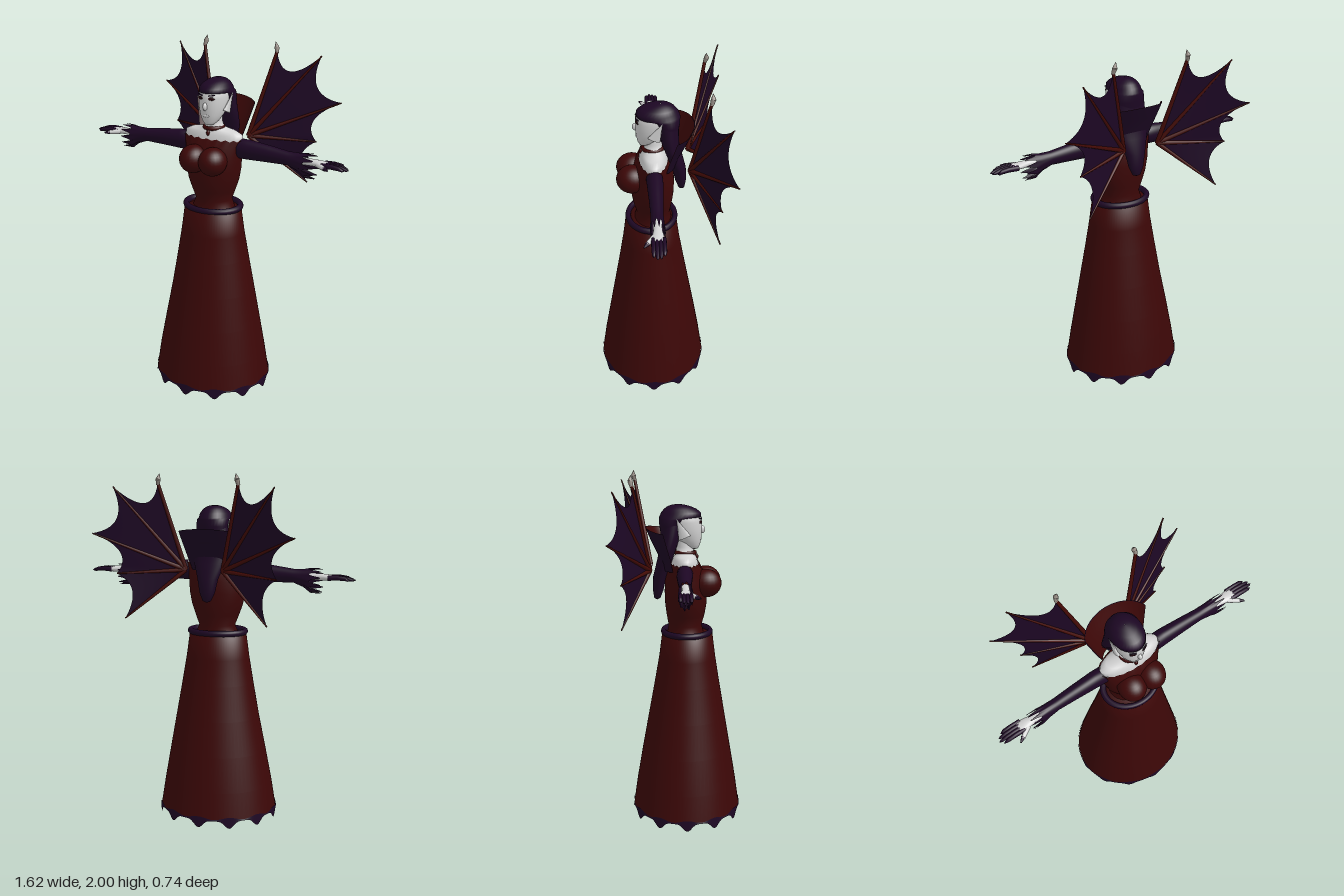
import * as THREE from 'three';

const mat = (name, color, double) => {
  const m = new THREE.MeshStandardMaterial({ color });
  m.name = name;
  if (double) m.side = THREE.DoubleSide;
  return m;
};
const V = (x, y, z) => new THREE.Vector3(x, y, z);

// Skin of elliptical rings stacked upward; each section is [y, cx, cz, rx, rz].
// bend(theta, row) shifts a ring point along y.
function loft(sections, { segs = 32, from = 0, sweep = Math.PI * 2, bend = () => 0 } = {}) {
  const pos = [], idx = [], closed = sweep > 6.28, n = closed ? segs : segs + 1;
  sections.forEach(([y, cx, cz, rx, rz], row) => {
    for (let j = 0; j < n; j++) {
      const a = from + (sweep * j) / segs;
      pos.push(cx + rx * Math.sin(a), y + bend(a, row), cz + rz * Math.cos(a));
    }
  });
  for (let i = 0; i < sections.length - 1; i++)
    for (let j = 0; j < segs; j++) {
      const k = (j + 1) % n, a = i * n + j, b = i * n + k, c = a + n, d = b + n;
      idx.push(a, b, d, a, d, c);
    }
  const g = new THREE.BufferGeometry();
  g.setAttribute('position', new THREE.Float32BufferAttribute(pos, 3));
  g.setIndex(idx);
  g.computeVertexNormals();
  return g;
}

// The same skin laid along +x; sections are [x, cy, cz, ry, rz].
const limb = (sections, opts) =>
  loft(sections.map(([x, cy, cz, ry, rz]) => [x, -cy, cz, ry, rz]), opts).rotateZ(-Math.PI / 2);

// Tapered rod between two points
function rod(a, b, r0, r1, sides = 10) {
  const d = b.clone().sub(a);
  const g = new THREE.CylinderGeometry(r1, r0, d.length(), sides);
  g.applyQuaternion(new THREE.Quaternion().setFromUnitVectors(V(0, 1, 0), d.normalize()));
  const c = a.clone().add(b).multiplyScalar(0.5);
  return g.translate(c.x, c.y, c.z);
}

const ball = (x, y, z, rx, ry, rz) =>
  new THREE.SphereGeometry(1, 24, 16).scale(rx, ry, rz).translate(x, y, z);

// Mirrored copy across x with its faces turned the right way out
function mirror(geo) {
  const g = geo.clone().scale(-1, 1, 1), ix = g.index.array;
  for (let i = 0; i < ix.length; i += 3) [ix[i], ix[i + 1]] = [ix[i + 1], ix[i]];
  return g;
}

export function createModel() {
  const root = new THREE.Group();
  root.name = 'wingedLady';
  const red = mat('dressRed', 0x3c0707, true);
  const purple = mat('darkPurple', 0x1d0724, true);
  const skin = mat('paleSkin', 0xd2d2d2);
  const bone = mat('clawBone', 0x9a9088);
  const rust = mat('wingBoneRed', 0x430a05);
  const eyeDark = mat('eyeDark', 0x22030a);

  const add = (name, geo, m) => {
    const mesh = new THREE.Mesh(geo, m);
    mesh.name = name;
    root.add(mesh);
  };
  const pair = (name, geo, m) => {
    add(name + 'Left', geo, m);
    add(name + 'Right', mirror(geo), m);
  };

  // Long skirt with a pointed hem
  add('skirt', loft([
    [0.045, -0.005, 0.052, 0.347, 0.314], [0.2, -0.005, 0.052, 0.322, 0.292],
    [0.4, -0.003, 0.052, 0.285, 0.258], [0.6, 0, 0.053, 0.247, 0.223],
    [0.8, 0, 0.054, 0.212, 0.188], [0.95, 0, 0.055, 0.187, 0.163],
    [1.09, 0, 0.055, 0.168, 0.145], [1.1, 0, 0.055, 0.09, 0.08],
  ], { segs: 72 }), red);
  add('hem', loft([
    [0.044, -0.005, 0.052, 0.351, 0.318], [0.058, -0.005, 0.052, 0.348, 0.315],
  ], {
    segs: 216,
    bend: (a, row) => (row ? 0.007 * Math.cos(12 * a) : -0.043 * Math.abs(Math.cos(6 * a)) ** 5),
  }), purple);
  add('belt', new THREE.TorusGeometry(0.162, 0.018, 12, 48)
    .rotateX(Math.PI / 2).scale(1, 1, 0.83).translate(0, 1.1, 0.052), purple);

  // Bodice
  add('bodice', loft([
    [1.09, 0, 0.045, 0.125, 0.105], [1.14, 0, 0.042, 0.106, 0.095], [1.2, 0, 0.045, 0.13, 0.109],
    [1.26, 0, 0.046, 0.152, 0.118], [1.33, 0, 0.046, 0.166, 0.121], [1.4, 0, 0.045, 0.17, 0.118],
    [1.46, 0, 0.042, 0.178, 0.1], [1.5, 0, 0.04, 0.188, 0.08],
  ], { segs: 80, bend: (a, row) => (row === 7 ? 0.005 * Math.cos(20 * a) : 0) }), red);
  pair('bust', ball(0.062, 1.39, 0.16, 0.079, 0.08, 0.087), red);

  // Shoulders, neck and choker
  add('shoulders', loft([
    [1.45, 0, 0.04, 0.165, 0.085], [1.495, 0, 0.04, 0.183, 0.077], [1.525, 0, 0.04, 0.177, 0.068],
    [1.542, 0, 0.04, 0.14, 0.058], [1.556, 0, 0.04, 0.06, 0.05], [1.59, 0, 0.04, 0.046, 0.046],
    [1.65, 0, 0.04, 0.046, 0.046],
  ]), skin);
  add('choker', new THREE.TorusGeometry(0.053, 0.009, 8, 32)
    .rotateX(Math.PI / 2).scale(1, 1.3, 1.05).translate(0, 1.556, 0.043), red);
  add('pendant', ball(0, 1.533, 0.107, 0.01, 0.017, 0.01), red);

  // Head and face
  add('head', loft([
    [1.575, 0, 0.095, 0.002, 0.002], [1.58, 0, 0.09, 0.025, 0.025], [1.6, 0, 0.077, 0.045, 0.048],
    [1.635, 0, 0.06, 0.064, 0.073], [1.68, 0, 0.046, 0.078, 0.09], [1.73, 0, 0.04, 0.081, 0.095],
    [1.77, 0, 0.035, 0.077, 0.092], [1.805, 0, 0.03, 0.045, 0.055], [1.81, 0, 0.03, 0.002, 0.002],
  ]), skin);
  add('nose', ball(0, 1.686, 0.136, 0.012, 0.022, 0.018), skin);
  add('lips', ball(0, 1.634, 0.128, 0.02, 0.009, 0.007), skin);
  pair('eye', new THREE.SphereGeometry(1, 16, 10).scale(0.019, 0.009, 0.004)
    .rotateY(0.4).translate(0.035, 1.731, 0.1275), eyeDark);
  pair('brow', new THREE.BoxGeometry(0.036, 0.005, 0.006)
    .rotateZ(0.15).rotateY(0.4).translate(0.036, 1.749, 0.127), purple);
  pair('ear', new THREE.ConeGeometry(0.036, 0.115, 14).scale(0.4, 1, 1)
    .rotateX(-0.4).rotateZ(-0.14).translate(0.085, 1.7, 0.015), skin);

  // Hair: cap with fringe, and a long fall down the back
  add('hairCap', loft([
    [1.64, 0, -0.035, 0.086, 0.058], [1.71, 0, -0.038, 0.092, 0.066], [1.748, 0, -0.022, 0.092, 0.084],
    [1.757, 0, 0.014, 0.09, 0.118], [1.78, 0, 0.018, 0.085, 0.112], [1.8, 0, 0.014, 0.07, 0.092],
    [1.815, 0, 0.006, 0.05, 0.064], [1.824, 0, 0.002, 0.025, 0.032], [1.826, 0, 0, 0.002, 0.002],
  ]), purple);
  add('hairFall', loft([
    [1.285, 0, -0.118, 0.002, 0.002], [1.295, 0, -0.117, 0.025, 0.018], [1.34, 0, -0.112, 0.045, 0.03],
    [1.42, 0, -0.102, 0.062, 0.038], [1.5, 0, -0.078, 0.09, 0.042], [1.58, 0, -0.055, 0.104, 0.047],
    [1.66, 0, -0.04, 0.097, 0.058], [1.73, 0, -0.032, 0.09, 0.068],
  ]), purple);

  // Standing collar, red inside and purple outside
  const collar = (o) => loft([
    [1.46, 0, -0.01, 0.125 + o, 0.07 + o], [1.54, 0, -0.02, 0.15 + o, 0.085 + o],
    [1.62, 0, -0.035, 0.17 + o, 0.11 + o], [1.7, 0, -0.05, 0.19 + o, 0.13 + o],
  ], { from: Math.PI * 0.58, sweep: Math.PI * 0.84, bend: (a, row) => -0.007 * row * Math.sin(a) ** 2 });
  add('collarLining', collar(0), red);
  add('collarOuter', collar(0.004), purple);

  // Sleeves with ragged flared cuffs that hang below the wrist
  pair('sleeve', limb([
    [0.13, 1.45, 0.038, 0.03, 0.03], [0.165, 1.452, 0.038, 0.056, 0.045], [0.22, 1.452, 0.036, 0.056, 0.044],
    [0.35, 1.447, 0.035, 0.047, 0.038], [0.46, 1.441, 0.035, 0.038, 0.033],
    [0.52, 1.43, 0.035, 0.05, 0.036], [0.58, 1.418, 0.035, 0.07, 0.04],
  ], { segs: 112, bend: (a, row) => (row === 6 ? 0.065 * Math.abs(Math.cos(5.5 * a)) ** 3 - 0.02 : 0) }), purple);

  // Hands: bare wrist and palm, gloved fingers
  pair('wrist', limb([
    [0.48, 1.44, 0.035, 0.022, 0.022], [0.6, 1.44, 0.035, 0.019, 0.023], [0.64, 1.44, 0.035, 0.018, 0.03],
    [0.69, 1.438, 0.034, 0.015, 0.037], [0.705, 1.437, 0.034, 0.002, 0.03],
  ], { segs: 20 }), skin);
  for (let i = 0; i < 4; i++) {
    const z = 0.006 + i * 0.018, end = [0.785, 0.807, 0.812, 0.795][i];
    pair('finger' + (i + 1), limb([
      [0.665, 1.438, z, 0.015, 0.012], [0.72, 1.441, z, 0.014, 0.012], [0.765, 1.437, z, 0.012, 0.011],
      [end - 0.012, 1.43, z, 0.008, 0.008], [end, 1.428, z, 0.001, 0.001],
    ], { segs: 10 }), purple);
  }
  pair('thumb', rod(V(0.645, 1.437, 0.055), V(0.7, 1.434, 0.093), 0.015, 0.011), skin);
  pair('thumbTip', rod(V(0.695, 1.434, 0.089), V(0.722, 1.432, 0.107), 0.0125, 0.004), purple);

  // Bat wings: a scalloped membrane fanned from the root, with bones to each tip
  const wingPoint = (x, y) => V(x, y, -0.155 - 0.4 * (x - 0.11) - 0.09 * Math.abs(y - 1.47));
  const hub = wingPoint(0.11, 1.47);
  const tips = [[0.235, 1.95], [0.465, 1.93], [0.585, 1.675], [0.47, 1.45], [0.42, 1.2]];
  const dips = [[0.27, 1.74], [0.385, 1.71], [0.37, 1.58], [0.33, 1.38]];
  const pts = [hub.toArray()], fan = [];
  dips.forEach((d, i) => {
    const [a, b] = [tips[i], tips[i + 1]].map((t) => new THREE.Vector2(...t));
    const edge = new THREE.QuadraticBezierCurve(a, new THREE.Vector2(...d), b);
    edge.getPoints(14).forEach((p) => pts.push(wingPoint(p.x, p.y).toArray()));
  });
  for (let i = 1; i < pts.length - 1; i++) fan.push(0, i + 1, i);
  const web = new THREE.BufferGeometry();
  web.setAttribute('position', new THREE.Float32BufferAttribute(pts.flat(), 3));
  web.setIndex(fan);
  web.computeVertexNormals();
  pair('wingMembrane', web, purple);
  tips.forEach(([x, y], i) =>
    pair('wingBone' + (i + 1), rod(hub, wingPoint(x, y), 0.013, i ? 0.004 : 0.009), rust));
  const clawBase = wingPoint(0.235, 1.94);
  const clawMid = clawBase.clone().add(V(-0.006, 0.03, -0.008));
  pair('wingClawBase', rod(clawBase, clawMid, 0.01, 0.014), bone);
  pair('wingClawTip', rod(clawMid, V(0.222, 2.0, clawMid.z + 0.002), 0.014, 0.001), bone);

  // Bare feet and ankles under the skirt
  pair('foot', loft([
    [-0.03, 0.075, 0, 0.002, 0.002], [-0.015, 0.078, 0, 0.028, 0.024], [0.04, 0.095, 0, 0.032, 0.03],
    [0.11, 0.122, 0, 0.044, 0.028], [0.17, 0.145, 0, 0.046, 0.022], [0.21, 0.155, 0, 0.032, 0.015],
    [0.225, 0.158, 0, 0.002, 0.002],
  ], { segs: 20 }).rotateX(Math.PI / 2).translate(0, 0.05, 0.01), skin);
  pair('ankle', rod(V(0.085, 0.05, 0.018), V(0.08, 0.12, 0.005), 0.026, 0.016, 16), skin);

  return root;
}
